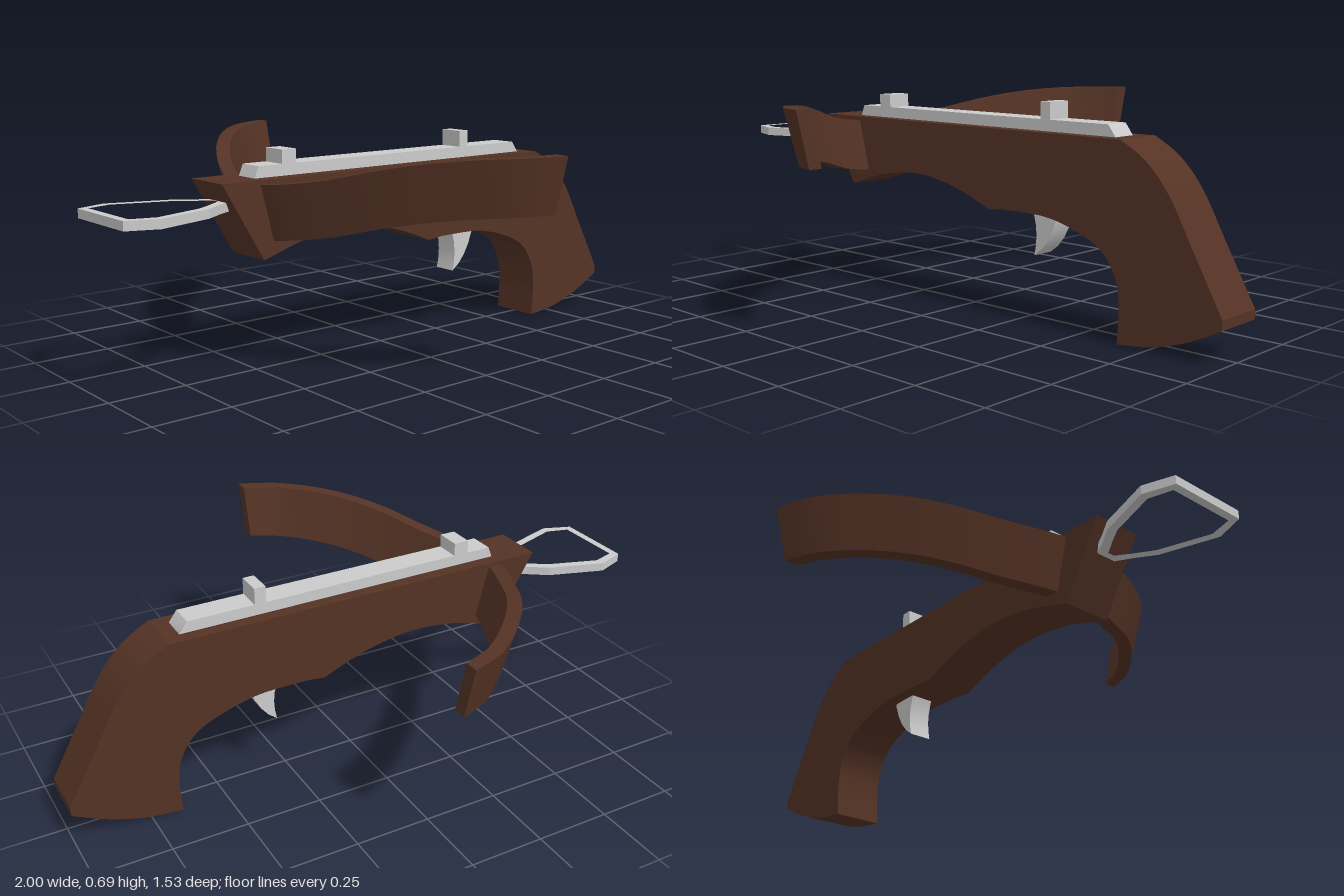
import * as THREE from 'three';
import { toCreasedNormals } from 'three/addons/utils/BufferGeometryUtils.js';

const wood = new THREE.MeshStandardMaterial({ color: 0x553325 });
const metal = new THREE.MeshStandardMaterial({ color: 0xcccccc });

const vec = (pts) => pts.map(([x, y]) => new THREE.Vector2(x, y));

function add(group, name, geometry, material) {
  const mesh = new THREE.Mesh(geometry, material);
  mesh.name = name;
  group.add(mesh);
  return mesh;
}

// Extrude a profile symmetrically about z = 0
function slab(shape, width, steps = 6) {
  const g = new THREE.ExtrudeGeometry(shape, { depth: width, bevelEnabled: false, curveSegments: steps });
  g.translate(0, 0, -width / 2);
  return toCreasedNormals(g, 0.5);
}

// Stock with curved pistol grip
function stockShape() {
  const s = new THREE.Shape();
  s.moveTo(-0.66, 0.605);
  s.lineTo(-0.52, 0.365);
  s.splineThru(vec([[-0.36, 0.412], [-0.2, 0.43], [-0.07, 0.415], [0.04, 0.385], [0.14, 0.345]]));
  s.lineTo(0.2, 0.352);
  s.splineThru(vec([[0.37, 0.35], [0.5, 0.318], [0.59, 0.272], [0.64, 0.2], [0.655, 0.12], [0.65, 0.005]]));
  s.splineThru(vec([[0.77, 0.02], [0.89, 0.058], [1, 0.112]]));
  s.lineTo(1, 0.142);
  s.splineThru(vec([[0.9, 0.32], [0.82, 0.46], [0.74, 0.55], [0.65, 0.605]]));
  s.closePath();
  return s;
}

// Bow: a leaning rectangular section swept along a mirrored curve
function bowGeometry() {
  const half = [
    [-0.525, 0.592, 0.1], [-0.45, 0.615, 0.27], [-0.37, 0.65, 0.41], [-0.28, 0.675, 0.53],
    [-0.18, 0.688, 0.635], [-0.08, 0.692, 0.715], [0, 0.694, 0.75], [0.042, 0.695, 0.763],
  ];
  const mirrored = half.map(([x, y, z]) => [x, y, -z]).reverse();
  const curve = new THREE.CatmullRomCurve3(
    [...mirrored, [-0.54, 0.588, 0], ...half].map((p) => new THREE.Vector3(...p)));
  const n = 32, thick = 0.045, height = 0.172, lean = 0.042;
  const rings = [];
  for (let i = 0; i <= n; i++) {
    const p = curve.getPointAt(i / n), t = curve.getTangentAt(i / n);
    // The tips are cut square to the stock
    const inward = i === 0 ? new THREE.Vector3(0, 0, 1) : i === n ? new THREE.Vector3(0, 0, -1)
      : new THREE.Vector3(t.z, 0, -t.x).normalize();
    const corner = (d, drop) => p.clone().addScaledVector(inward, d).setY(p.y - drop);
    rings.push([corner(0, 0), corner(lean, height), corner(lean + thick, height), corner(thick, 0)]);
  }
  const pos = [];
  const quad = (a, b, c, d) => [a, b, c, a, c, d].forEach((v) => pos.push(v.x, v.y, v.z));
  for (let i = 0; i < n; i++) {
    const a = rings[i], b = rings[i + 1];
    for (let k = 0; k < 4; k++) quad(a[k], a[(k + 1) % 4], b[(k + 1) % 4], b[k]);
  }
  quad(...[...rings[0]].reverse());
  quad(...rings[n]);
  const g = new THREE.BufferGeometry();
  g.setAttribute('position', new THREE.Float32BufferAttribute(pos, 3));
  return toCreasedNormals(g, 0.5);
}

// Foot stirrup: mirrored outline with an opening, lying flat
function stirrupGeometry() {
  const mirror = (pts) => vec([...pts, ...pts.map(([x, z]) => [x, -z]).reverse()]);
  const shape = new THREE.Shape(mirror([[-1, 0.135], [-0.905, 0.17], [-0.72, 0.11], [-0.66, 0.068], [-0.58, 0.02]]));
  shape.holes.push(new THREE.Path(mirror([[-0.975, 0.118], [-0.9, 0.14], [-0.735, 0.085], [-0.685, 0.052], [-0.63, 0.012]])));
  const g = new THREE.ExtrudeGeometry(shape, { depth: 0.028, bevelEnabled: false });
  g.rotateX(Math.PI / 2);
  g.translate(0, 0.544, 0);
  return g;
}

export function createModel() {
  const model = new THREE.Group();
  model.name = 'handCrossbow';

  add(model, 'stock', slab(stockShape(), 0.17), wood);
  add(model, 'bow', bowGeometry(), wood);
  add(model, 'stirrup', stirrupGeometry(), metal);

  // Rail with sloped ends
  const rail = new THREE.Shape(vec([[-0.525, 0.59], [0.605, 0.59], [0.6, 0.605], [0.573, 0.641], [-0.506, 0.641], [-0.52, 0.605]]));
  add(model, 'rail', slab(rail, 0.085), metal);

  // Sight blocks on the rail
  for (const [name, x, w, top] of [['frontSight', -0.395, 0.052, 0.684], ['rearSight', 0.334, 0.038, 0.695]]) {
    const h = top - 0.62;
    add(model, name, new THREE.BoxGeometry(w, h, 0.085), metal).position.set(x, top - h / 2, 0);
  }

  // Hooked trigger
  const trigger = new THREE.Shape();
  trigger.moveTo(0.28, 0.37);
  trigger.lineTo(0.29, 0.34);
  trigger.quadraticCurveTo(0.31, 0.28, 0.292, 0.212);
  trigger.quadraticCurveTo(0.355, 0.25, 0.382, 0.345);
  trigger.lineTo(0.385, 0.37);
  trigger.closePath();
  add(model, 'trigger', slab(trigger, 0.08, 4), metal);

  return model;
}
